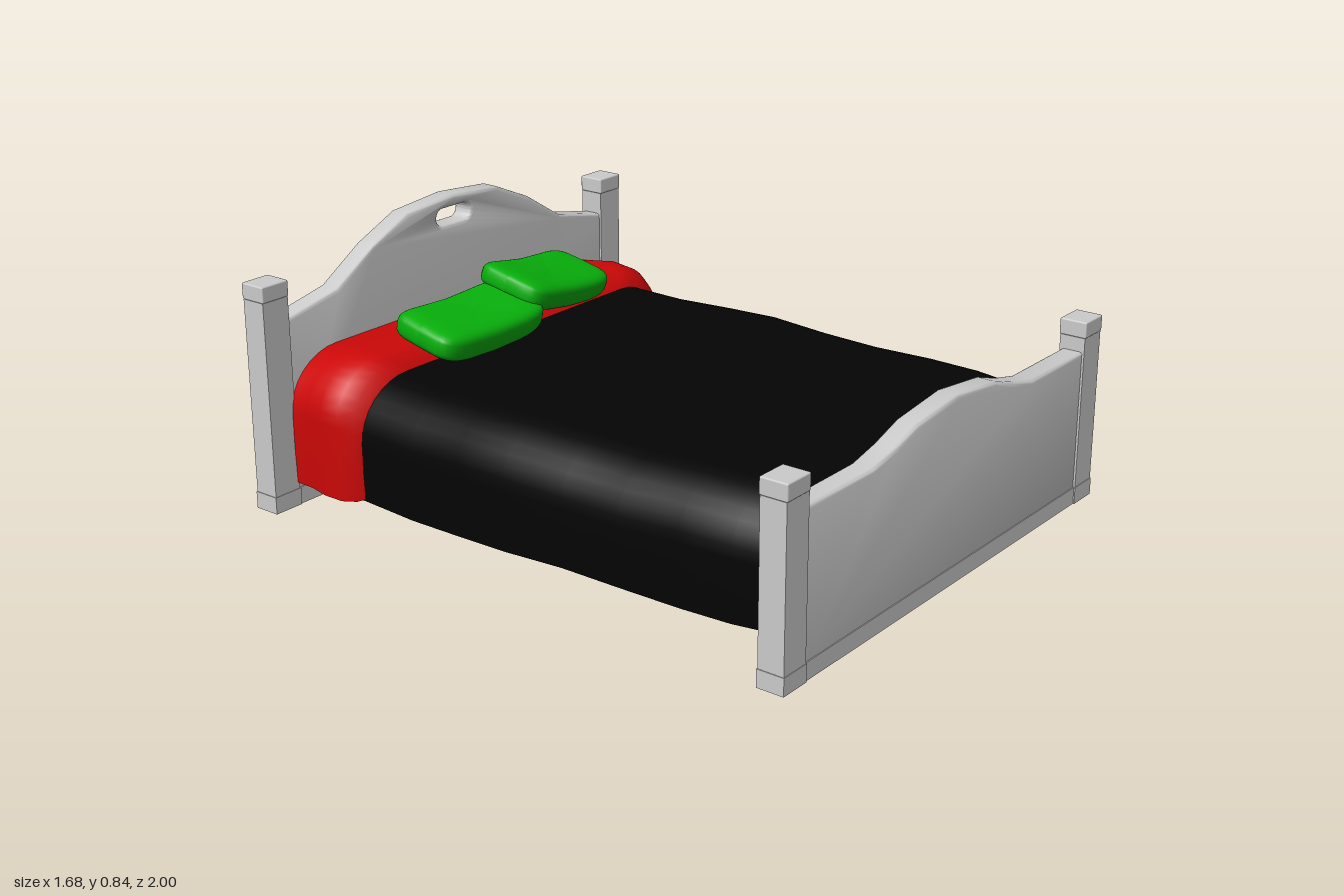
import * as THREE from 'three';
import { toCreasedNormals } from 'three/addons/utils/BufferGeometryUtils.js';
import { RoundedBoxGeometry } from 'three/addons/geometries/RoundedBoxGeometry.js';

const material = (color) => new THREE.MeshStandardMaterial({ color });
const grey = material(0xcccccc);
const red = material(0xcc0808);
const green = material(0x08b00c);
const black = material(0x040404);
red.side = black.side = THREE.DoubleSide;

function add(parent, name, geometry, mat, x = 0, y = 0, z = 0) {
  const mesh = new THREE.Mesh(geometry, mat);
  mesh.name = name;
  mesh.position.set(x, y, z);
  parent.add(mesh);
  return mesh;
}

// Post with a foot block and a slightly wider cap
function addPost(parent, x, z, height) {
  const post = new THREE.Group();
  post.name = 'post';
  post.position.set(x, 0, z);
  const foot = 0.055, cap = 0.052;
  add(post, 'postFoot', new THREE.BoxGeometry(0.105, foot, 0.088), grey, 0, foot / 2);
  add(post, 'postShaft', new THREE.BoxGeometry(0.1, height - foot - cap, 0.084), grey, 0, (height + foot - cap) / 2);
  add(post, 'postCap', new RoundedBoxGeometry(0.105, cap, 0.09, 2, 0.005), grey, 0, height - cap / 2);
  parent.add(post);
}

// End board: crest lists the right half of the top edge, from centre outwards
function makeBoard(name, z, postHeight, crest, holeY) {
  const board = new THREE.Group();
  board.name = name;
  const shape = new THREE.Shape();
  shape.moveTo(-0.745, 0.04);
  shape.lineTo(0.745, 0.04);
  [...crest].reverse().forEach(([x, y]) => shape.lineTo(x, y));
  crest.slice(1).forEach(([x, y]) => shape.lineTo(-x, y));
  if (holeY) {
    // Rounded hand slot
    const hole = new THREE.Path();
    const r = 0.028, dx = 0.05;
    hole.moveTo(-dx, holeY - r);
    hole.lineTo(dx, holeY - r);
    hole.absarc(dx, holeY, r, -Math.PI / 2, Math.PI / 2, false);
    hole.absarc(-dx, holeY, r, Math.PI / 2, Math.PI * 1.5, false);
    shape.holes.push(hole);
  }
  const bevel = 0.012, depth = 0.074;
  const panel = new THREE.ExtrudeGeometry(shape, {
    depth: depth - 2 * bevel, bevelEnabled: true, bevelThickness: bevel,
    bevelSize: bevel, bevelOffset: -bevel, bevelSegments: 3, curveSegments: 8,
  });
  panel.translate(0, 0, bevel - depth / 2);
  add(board, 'panel', toCreasedNormals(panel, 0.7), grey, 0, 0, z);
  add(board, 'baseRail', new THREE.BoxGeometry(1.49, 0.055, 0.08), grey, 0, 0.0275, z);
  for (const side of [-1, 1]) addPost(board, side * 0.79, z, postHeight);
  return board;
}

// Open draped sheet, lofted through rows of [z, half width, top, bottom]
function drape(rows) {
  const positions = [], index = [];
  const steps = 8, rx = 0.2, ry = 0.18;
  const section = ([, w, top, bottom]) => {
    const half = [[w * 0.995, bottom], [w, (bottom + top - ry) / 2]];
    for (let i = 0; i <= steps; i++) {
      const a = (i / steps) * Math.PI / 2;
      half.push([w - rx + rx * Math.cos(a), top - ry + ry * Math.sin(a)]);
    }
    half.push([w * 0.35, top]);
    return [...half, ...half.map(([x, y]) => [-x, y]).reverse()];
  };
  const sections = rows.map(section);
  const n = sections[0].length;
  sections.forEach((points, r) => points.forEach(([x, y], i) => {
    positions.push(x, y, rows[r][0]);
    if (r === 0 || i === 0) return;
    const d = r * n + i, c = d - 1, b = d - n, a = b - 1;
    index.push(a, b, c, b, d, c);
  }));
  const geometry = new THREE.BufferGeometry();
  geometry.setAttribute('position', new THREE.Float32BufferAttribute(positions, 3));
  // Rows run from back to front, so the outside winds this way
  geometry.setIndex(index.reverse());
  geometry.computeVertexNormals();
  return geometry;
}

// Soft cushion: a sphere squared off, with raised ends and a waist
function pillowGeometry(w, h, d) {
  const geometry = new THREE.SphereGeometry(1, 32, 20);
  const p = geometry.attributes.position;
  const square = (v, e) => Math.sign(v) * Math.abs(v) ** e;
  for (let i = 0; i < p.count; i++) {
    const v = new THREE.Vector3().fromBufferAttribute(p, i);
    const ring = Math.hypot(v.x, v.z) || 1;
    const spread = square(ring, 0.45);
    const x = square(v.x / ring, 0.4) * spread;
    const z = square(v.z / ring, 0.4) * spread;
    const y = square(v.y, 0.6);
    p.setXYZ(i,
      x * w / 2,
      y * h / 2 + 0.022 * (x * x - 0.5),
      z * (d / 2) * (0.93 + 0.07 * x * x));
  }
  geometry.computeVertexNormals();
  return geometry;
}

export function createModel() {
  const bed = new THREE.Group();
  bed.name = 'bed';

  bed.add(makeBoard('headboard', -0.957, 0.735,
    [[0, 0.84], [0.21, 0.822], [0.37, 0.752], [0.53, 0.652], [0.745, 0.608]], 0.772));
  bed.add(makeBoard('footboard', 0.953, 0.597,
    [[0, 0.583], [0.21, 0.56], [0.32, 0.525], [0.43, 0.501], [0.745, 0.5]]));

  add(bed, 'blanket', drape([
    [-0.92, 0.71, 0.435, 0.075], [-0.64, 0.718, 0.44, 0.07], [-0.45, 0.722, 0.435, 0.062],
    [-0.25, 0.728, 0.442, 0.066], [-0.07, 0.735, 0.445, 0.072], [0.14, 0.722, 0.437, 0.075],
    [0.34, 0.715, 0.434, 0.07], [0.55, 0.707, 0.442, 0.066], [0.72, 0.7, 0.442, 0.068],
    [0.915, 0.672, 0.436, 0.073],
  ]), black);

  add(bed, 'headSheet', drape([
    [-0.92, 0.75, 0.482, 0.075], [-0.85, 0.752, 0.49, 0.075], [-0.78, 0.765, 0.497, 0.072],
    [-0.71, 0.762, 0.49, 0.07], [-0.665, 0.74, 0.472, 0.072], [-0.638, 0.7, 0.43, 0.08],
  ]), red);

  const lower = add(bed, 'lowerPillow', pillowGeometry(0.48, 0.11, 0.27), green, -0.245, 0.53, -0.63);
  lower.rotation.set(0.22, 0, 0);
  const upper = add(bed, 'upperPillow', pillowGeometry(0.46, 0.1, 0.27), green, 0.143, 0.565, -0.66);
  upper.rotation.set(0.24, 0.08, -0.17);

  return bed;
}
